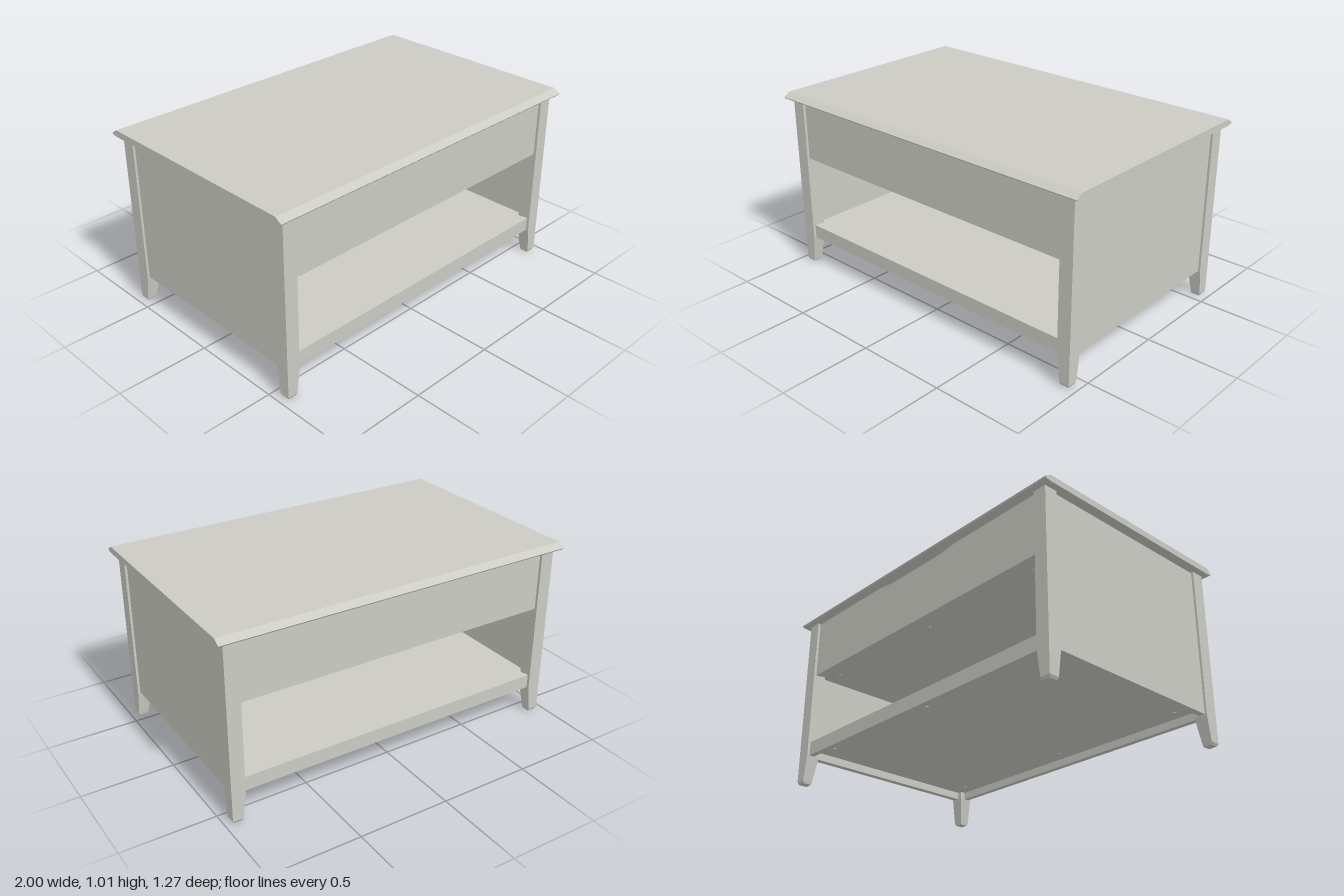
import * as THREE from 'three';
import { ConvexGeometry } from 'three/addons/geometries/ConvexGeometry.js';

const paint = new THREE.MeshStandardMaterial({ color: 0xcbcbc4 });
paint.name = 'warmGreyPaint';

export function createModel() {
  const table = new THREE.Group();
  table.name = 'coffeeTable';

  const add = (name, geometry, x = 0, y = 0, z = 0) => {
    const mesh = new THREE.Mesh(geometry, paint);
    mesh.name = name;
    mesh.position.set(x, y, z);
    table.add(mesh);
    return mesh;
  };
  // Box given by its limits on each axis
  const box = (name, x0, x1, y0, y1, z0, z1) =>
    add(name, new THREE.BoxGeometry(x1 - x0, y1 - y0, z1 - z0), (x0 + x1) / 2, (y0 + y1) / 2, (z0 + z1) / 2);
  const extrude = (points, depth, holes = []) => {
    const shape = new THREE.Shape(points.map(([a, b]) => new THREE.Vector2(a, b)));
    shape.holes.push(...holes);
    return new THREE.ExtrudeGeometry(shape, { depth, bevelEnabled: false, curveSegments: 12 });
  };

  // Lid with bevelled front and back edges
  const lid = extrude([
    [-0.605, 0.976], [0.605, 0.976], [0.63, 0.98], [0.636, 0.988],
    [0.6, 1.012], [-0.6, 1.012], [-0.636, 0.988], [-0.63, 0.98],
  ], 2);
  lid.rotateY(-Math.PI / 2);
  add('lid', lid, 1);

  // Legs: inner faces taper towards a small chamfered foot
  const sections = [ // height, outer inset, width
    [0, 0.008, 0.045], [0.014, 0, 0.056], [0.155, 0, 0.075], [0.976, 0, 0.075],
  ];
  for (const sx of [-1, 1]) for (const sz of [-1, 1]) {
    const points = [];
    for (const [y, inset, width] of sections)
      for (const a of [inset, inset + width]) for (const b of [inset, inset + width])
        points.push(new THREE.Vector3(sx * (0.963 - a), y, sz * (0.6 - b)));
    add('leg', new ConvexGeometry(points));
  }

  // Side panels set slightly behind the leg faces
  for (const s of [-1, 1]) {
    const x = [s * 0.915, s * 0.95].sort((a, b) => a - b);
    box('sidePanel', x[0], x[1], 0.158, 0.972, -0.53, 0.53);
  }

  // Front and back aprons with a finger recess, and rails below
  const apron = extrude([
    [-0.89, 0.645], [0.89, 0.645], [0.89, 0.973], [0.31, 0.973], [0.26, 0.967], [0.2, 0.959],
    [-0.2, 0.959], [-0.26, 0.967], [-0.31, 0.973], [-0.89, 0.973],
  ], 0.03);
  for (const s of [-1, 1]) {
    add('apron', apron, 0, 0, s * 0.57 - 0.015);
    box('shelfRail', -0.89, 0.89, 0.158, 0.235, s * 0.57 - 0.015, s * 0.57 + 0.015);
  }

  // Shelf board
  box('shelf', -0.915, 0.915, 0.2, 0.23, -0.557, 0.557);

  // Compartment floor with a round cable hole
  const hole = new THREE.Path();
  hole.absarc(-0.8, 0.45, 0.04, 0, Math.PI * 2, true);
  const floor = extrude([[-0.915, -0.557], [0.915, -0.557], [0.915, 0.557], [-0.915, 0.557]], 0.025, [hole]);
  floor.rotateX(-Math.PI / 2);
  add('compartmentFloor', floor, 0, 0.65, 0);
  const ring = new THREE.TorusGeometry(0.045, 0.008, 8, 24);
  ring.rotateX(Math.PI / 2);
  add('cableGrommet', ring, -0.8, 0.65, -0.45);

  // Small screw caps under the boards
  const cap = new THREE.CylinderGeometry(0.009, 0.009, 0.006, 10);
  for (const x of [-0.8, 0, 0.8]) for (const z of [-0.48, 0.48]) {
    add('shelfScrew', cap, x, 0.199, z);
    if (x !== -0.8) add('floorScrew', cap, x, 0.649, z);
  }

  return table;
}
